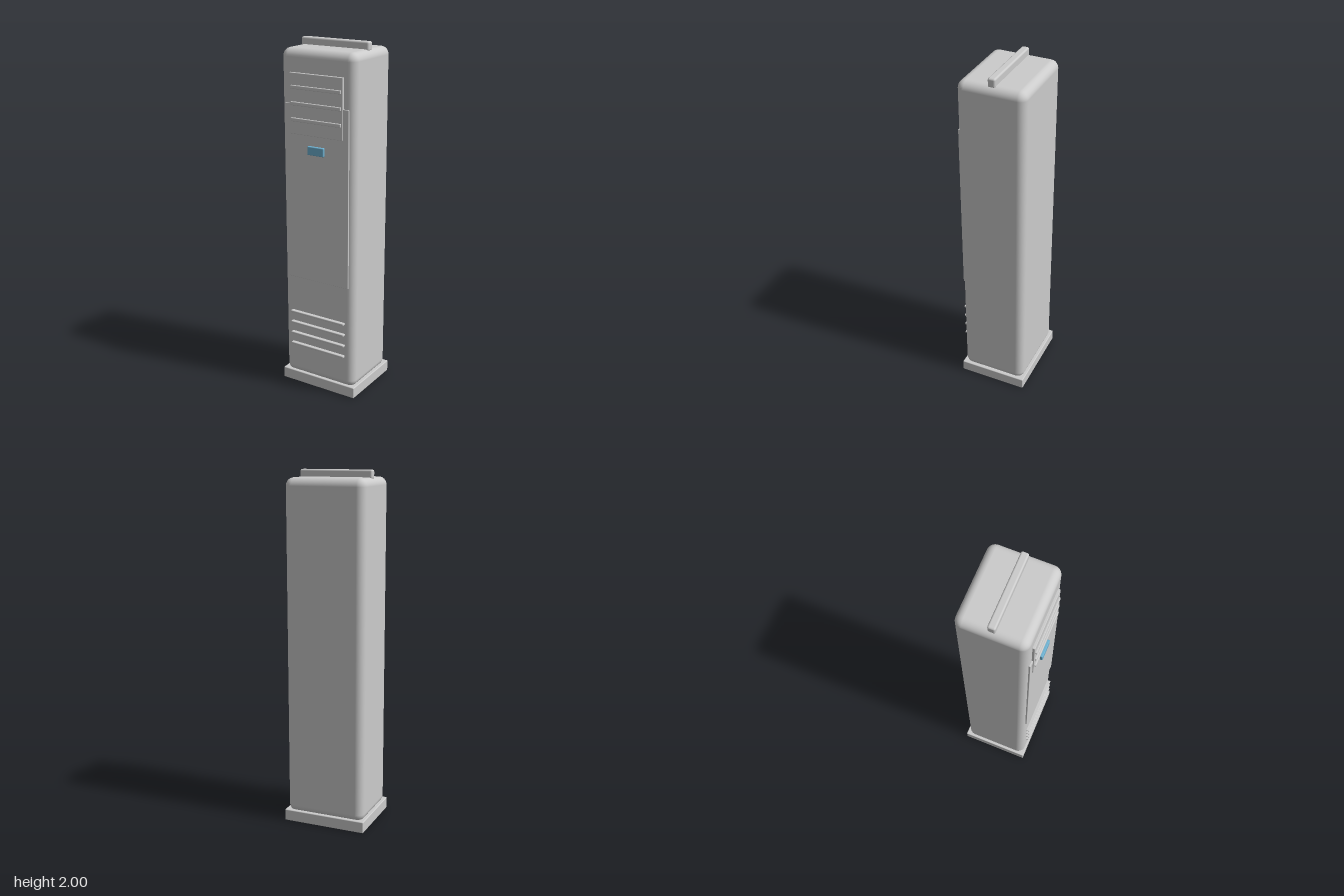
import * as THREE from 'three';
import { RoundedBoxGeometry } from 'three/addons/geometries/RoundedBoxGeometry.js';

const grey = new THREE.MeshStandardMaterial({ color: 0xcccccc });
const blue = new THREE.MeshStandardMaterial({ color: 0x6fb2d2 });

export function createModel() {
  const model = new THREE.Group();

  // Rounded block centred on x, given by its width and its y and z extents
  function block(name, width, [y0, y1], [z0, z1], radius, segments = 2, material = grey) {
    const geometry = new RoundedBoxGeometry(width, y1 - y0, z1 - z0, segments, radius);
    const mesh = new THREE.Mesh(geometry, material);
    mesh.name = name;
    mesh.position.set(0, (y0 + y1) / 2, (z0 + z1) / 2);
    model.add(mesh);
  }

  // Plinth, cabinet and top bar
  block('base', 0.486, [0, 0.066], [-0.208, 0.192], 0.005);
  block('cabinet', 0.464, [0.05, 1.96], [-0.197, 0.183], 0.045, 4);
  block('topBar', 0.422, [1.95, 2], [-0.028, 0.014], 0.01);

  // Front door with the air outlet in front of it
  block('frontPanel', 0.4, [0.67, 1.67], [0.175, 0.19], 0.002);
  block('outletPanel', 0.334, [1.505, 1.836], [0.175, 0.196], 0.003);
  for (const y of [1.76, 1.672, 1.585]) {
    block('outletSlat', 0.316, [y - 0.01, y + 0.01], [0.188, 0.204], 0.004);
  }

  // Display window
  block('display', 0.104, [1.402, 1.45], [0.185, 0.204], 0.005, 2, blue);

  // Lower intake slats
  for (let i = 0; i < 4; i++) {
    const y = 0.249 + i * 0.0675;
    block('intakeSlat', 0.356, [y - 0.0065, y + 0.0065], [0.18, 0.204], 0.004);
  }

  return model;
}
